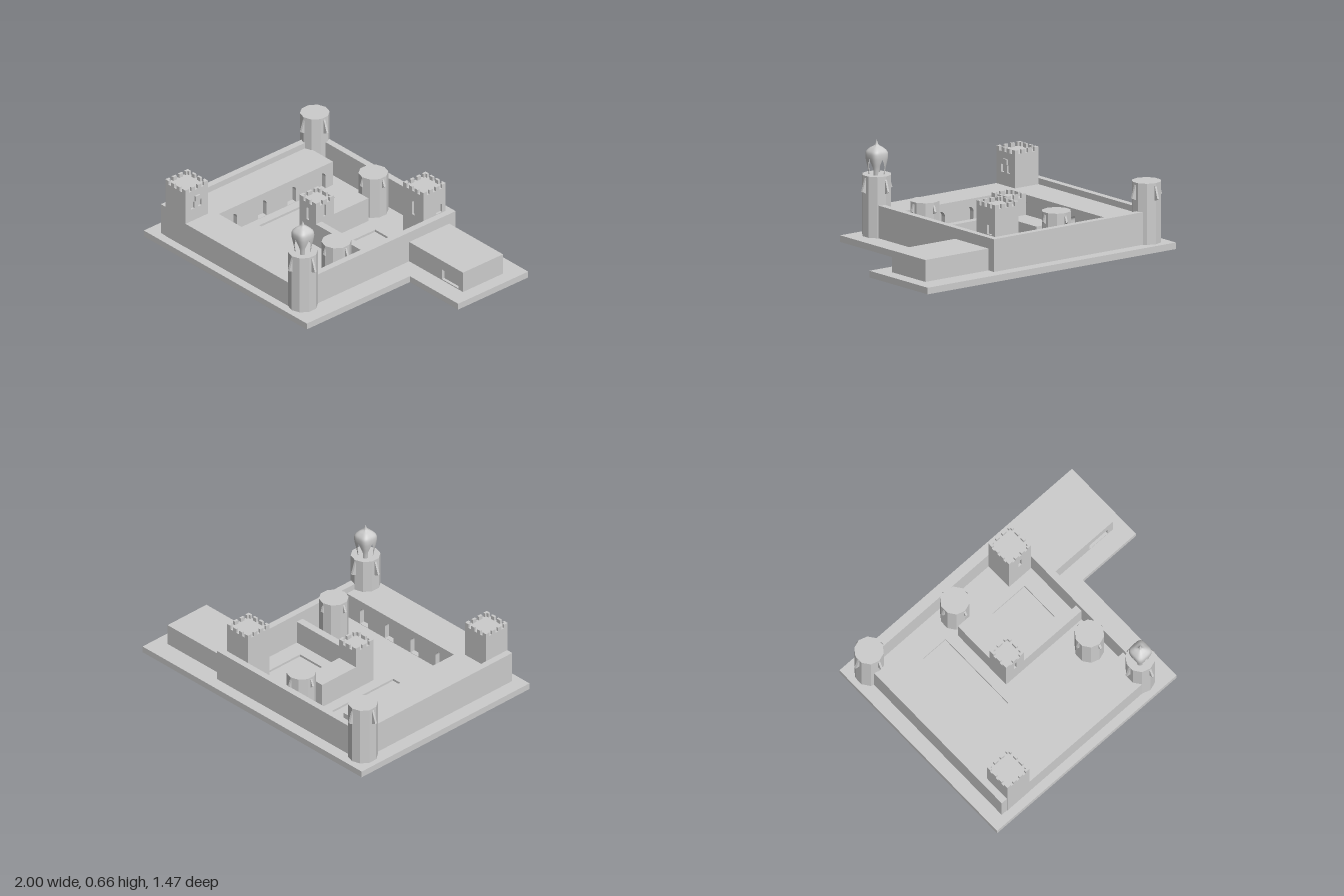
import * as THREE from 'three';

const BASE = 0.043;
const mat = new THREE.MeshStandardMaterial({ color: 0xcccccc, flatShading: true });
const smooth = new THREE.MeshStandardMaterial({ color: 0xcccccc, side: THREE.DoubleSide });

function add(parent, name, geometry, material = mat) {
  const mesh = new THREE.Mesh(geometry, material);
  mesh.name = name;
  parent.add(mesh);
  return mesh;
}

// Box given by its limits on each axis
function block(parent, name, x0, x1, y0, y1, z0, z1) {
  const mesh = add(parent, name, new THREE.BoxGeometry(x1 - x0, y1 - y0, z1 - z0));
  mesh.position.set((x0 + x1) / 2, (y0 + y1) / 2, (z0 + z1) / 2);
  return mesh;
}

function rectPath(x0, x1, y0, y1) {
  return new THREE.Path([[x0, y0], [x1, y0], [x1, y1], [x0, y1]].map(p => new THREE.Vector2(...p)));
}

// Round-headed opening standing on y0
function archPath(cx, w, y0, y1) {
  const p = new THREE.Path(), r = w / 2;
  p.moveTo(cx - r, y0);
  p.lineTo(cx + r, y0);
  p.lineTo(cx + r, y1 - r);
  p.absarc(cx, y1 - r, r, 0, Math.PI, false);
  p.lineTo(cx - r, y0);
  return p;
}

// Upright slab in the xy plane, pierced by the given openings
function piercedWall(parent, name, x0, x1, y0, y1, depth, holes) {
  const shape = new THREE.Shape(rectPath(x0, x1, y0, y1).getPoints());
  shape.holes = holes;
  return add(parent, name, new THREE.ExtrudeGeometry(shape, { depth, bevelEnabled: false, curveSegments: 10 }));
}

// Ten-sided tower with four sloping hoods
function roundTower(parent, name, x, z, top) {
  const g = new THREE.Group();
  g.name = name;
  g.position.set(x, 0, z);
  parent.add(g);
  const r = 0.095, tall = top > 0.4;
  const shaft = add(g, 'shaft', new THREE.CylinderGeometry(r, r, top - BASE, 10));
  shaft.position.y = (top + BASE) / 2;
  const drop = tall ? 0.1 : 0.06, reach = tall ? 0.121 : 0.109;
  const hood = new THREE.Shape([
    [r - 0.015, top - 0.015], [r - 0.003, top - 0.015], [reach, top - drop],
    [r, top - drop - 0.012], [r - 0.015, top - drop - 0.012],
  ].map(p => new THREE.Vector2(...p)));
  const hoodGeo = new THREE.ExtrudeGeometry(hood, { depth: 0.014, bevelEnabled: false });
  hoodGeo.translate(0, 0, -0.007);
  for (let i = 0; i < 4; i++) add(g, 'hood', hoodGeo).rotation.y = i * Math.PI / 2;
}

// Square tower with battlements; openings are recessed into its east (+x) and front (+z) faces
function squareTower(parent, name, x0, z0, size, top, teeth, eastOpenings, frontOpenings) {
  const g = new THREE.Group();
  g.name = name;
  parent.add(g);
  const x1 = x0 + size, z1 = z0 + size, roof = top - 0.027, t = 0.016, skin = 0.015;
  block(g, 'core', x0, x1 - skin, BASE, roof, z0, z1 - skin);
  piercedWall(g, 'frontFace', x0, x1, BASE, roof, skin, frontOpenings).position.z = z1 - skin;
  const east = piercedWall(g, 'eastFace', skin - z1, -z0, BASE, roof, skin, eastOpenings);
  east.rotation.y = Math.PI / 2;
  east.position.x = x1 - skin;
  const gap = 0.023, w = (size - gap * (teeth - 1)) / teeth;
  for (let i = 0; i < teeth; i++) {
    const a = i * (w + gap);
    for (const z of [z0, z1 - t]) block(g, 'merlon', x0 + a, x0 + a + w, roof, top, z, z + t);
    const s = i === 0 ? t : 0, e = i === teeth - 1 ? t : 0;
    for (const x of [x0, x1 - t]) block(g, 'merlon', x, x + t, roof, top, z0 + a + s, z0 + a + w - e);
  }
  return g;
}

// Squarish onion dome whose lower part opens into four pointed arches
function dome(parent, x, y, z) {
  const g = new THREE.Group();
  g.name = 'dome';
  g.position.set(x, y, z);
  parent.add(g);
  const profile = new THREE.SplineCurve([
    [0.043, 0], [0.048, 0.04], [0.057, 0.085], [0.061, 0.12], [0.057, 0.148],
    [0.038, 0.17], [0.018, 0.183], [0.009, 0.193], [0.0005, 0.222],
  ].map(p => new THREE.Vector2(...p)));
  for (let q = 0; q < 4; q++) {
    const geo = new THREE.PlaneGeometry(1, 1, 10, 40);
    const pos = geo.attributes.position;
    for (let i = 0; i < pos.count; i++) {
      const p = profile.getPoint(pos.getY(i) + 0.5);
      const open = 0.47 * THREE.MathUtils.clamp((0.102 - p.y) / 0.055, 0, 1);
      const a = Math.PI / 4 + pos.getX(i) * (Math.PI / 2 - 2 * open);
      const r = p.x / Math.pow(Math.sin(a) ** 4 + Math.cos(a) ** 4, 0.25);
      pos.setXYZ(i, r * Math.sin(a), p.y, r * Math.cos(a));
    }
    geo.computeVertexNormals();
    add(g, 'domeQuarter', geo, smooth).rotation.y = q * Math.PI / 2;
  }
}

export function createModel() {
  const model = new THREE.Group();
  model.name = 'fortress';

  // L-shaped plinth, hollowed under the beds and the inner range
  const beds = [[-0.56, -0.365, -0.435, 0.15], [-0.03, 0.245, -0.36, -0.08]];
  const hollows = [...beds, [-0.29, -0.14, -0.4, -0.105]];
  const plan = new THREE.Shape([
    [-1, -0.735], [0.543, -0.735], [0.543, 0.14], [1, 0.14], [1, 0.735], [-1, 0.735],
  ].map(p => new THREE.Vector2(...p)));
  plan.holes = hollows.map(([x0, x1, z0, z1]) => rectPath(x0, x1, -z1, -z0));
  const plinth = add(model, 'plinth', new THREE.ExtrudeGeometry(plan, { depth: BASE, bevelEnabled: false }));
  plinth.rotation.x = -Math.PI / 2;
  for (const [x0, x1, z0, z1] of beds) block(model, 'courtyardBed', x0, x1, 0.02, 0.028, z0, z1);

  // Outer walls
  const wallTop = 0.255, roof = 0.215;
  block(model, 'westWall', -0.905, -0.86, BASE, wallTop, -0.655, 0.675);
  block(model, 'backWall', -0.86, 0.358, BASE, wallTop, -0.655, -0.61);
  block(model, 'eastWall', 0.358, 0.403, BASE, wallTop, -0.655, 0.675);

  // Flat-roofed wings with arcades facing the courtyard
  const skin = 0.035, wingZ = 0.438;
  block(model, 'frontWing', -0.86, 0.358, BASE, roof, wingZ + skin, 0.677);
  block(model, 'westWing', -0.86, -0.62 - skin, BASE, roof, -0.53, wingZ + skin);
  const frontArches = [-0.49, -0.26, -0.03, 0.2].map(x => archPath(x, 0.075, BASE + 0.002, 0.165));
  const frontArcade = piercedWall(model, 'frontArcade', -0.62 - skin, 0.358, BASE, roof, skin, frontArches);
  frontArcade.position.z = wingZ;
  const westArches = [-0.43, -0.18, 0.07, 0.32].map(z => archPath(-z, 0.075, BASE + 0.002, 0.165));
  const westArcade = piercedWall(model, 'westArcade', -wingZ, 0.53, BASE, roof, skin, westArches);
  westArcade.rotation.y = Math.PI / 2;
  westArcade.position.x = -0.62 - skin;

  // Inner range and cross wall dividing the courtyard
  block(model, 'innerRange', -0.29, -0.14, 0.02, 0.21, -0.4, -0.105);
  block(model, 'crossWall', -0.14, 0.358, BASE, 0.2, 0, 0.05);

  // Annex with a recessed doorway
  const annexTop = 0.185;
  block(model, 'annex', 0.403, 0.912, BASE, annexTop, -0.6, -0.28);
  piercedWall(model, 'annexFront', 0.403, 0.912, BASE, annexTop, 0.02,
    [rectPath(0.713, 0.868, 0.05, 0.12)]).position.z = -0.28;

  // Round towers
  roundTower(model, 'cornerRoundTower', -0.87, -0.6, 0.44);
  roundTower(model, 'domedTower', 0.355, 0.6, 0.44);
  roundTower(model, 'backRoundTower', -0.215, -0.51, 0.325);
  roundTower(model, 'courtRoundTower', 0.26, 0.23, 0.325);
  dome(model, 0.355, 0.44, 0.6);

  // Square towers
  const front = squareTower(model, 'frontSquareTower', -0.86, 0.488, 0.19, 0.46, 4,
    [-0.63, -0.57].map(x => rectPath(x, x + 0.03, 0.3, 0.35)), []);
  block(front, 'bracket', -0.67, -0.658, 0.355, 0.39, 0.56, 0.6);
  squareTower(model, 'backSquareTower', 0.168, -0.61, 0.19, 0.46, 4,
    [rectPath(0.53, 0.58, 0.26, 0.32)], [archPath(0.263, 0.024, 0.26, 0.36)]);
  squareTower(model, 'innerSquareTower', -0.29, -0.105, 0.155, 0.35, 3,
    [archPath(0.025, 0.02, 0.23, 0.315)], [archPath(-0.212, 0.02, 0.2, 0.29)]);

  return model;
}
